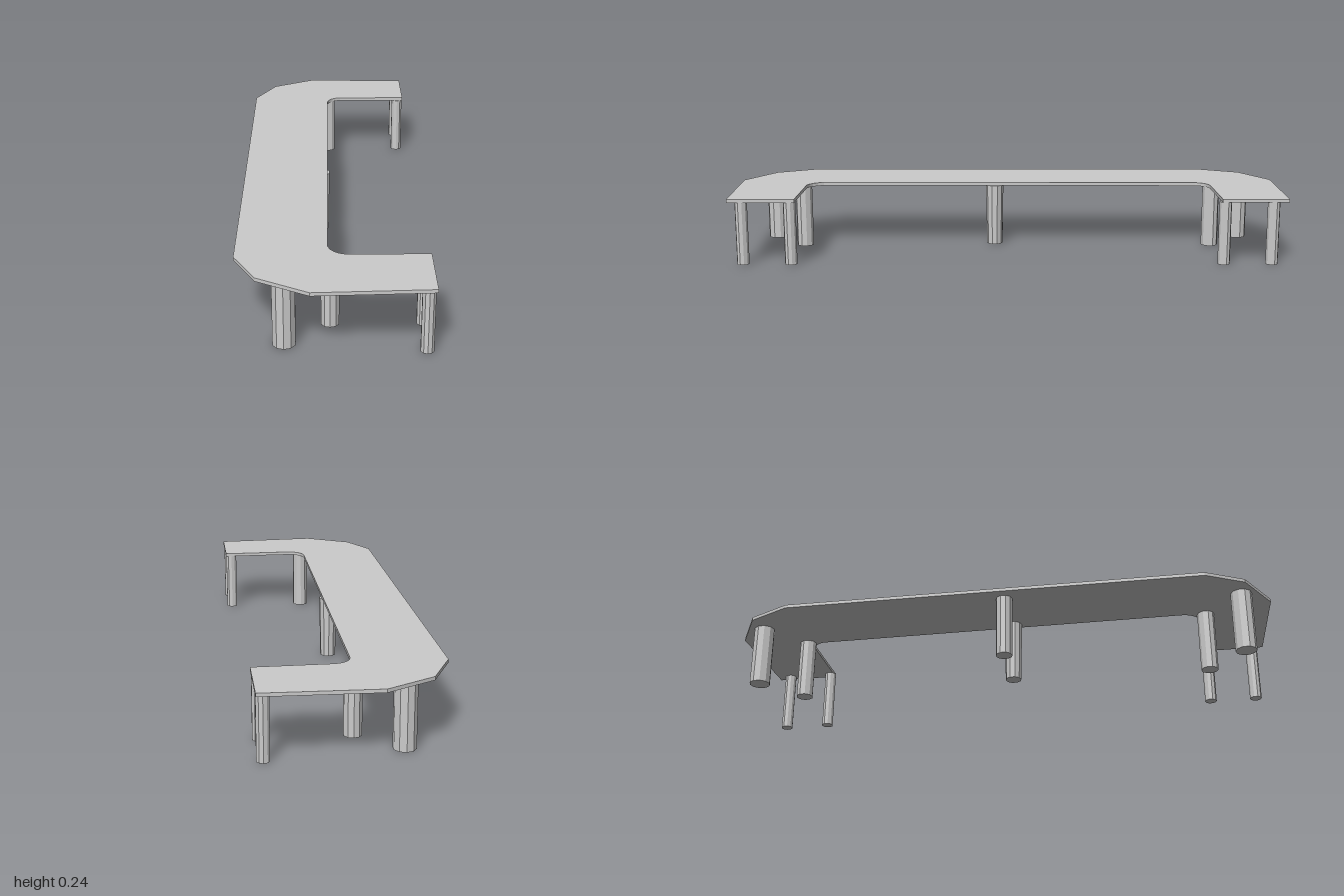
import * as THREE from 'three';

const UNDERSIDE = 0.225, THICKNESS = 0.012;

export function createModel() {
  const group = new THREE.Group();
  const material = new THREE.MeshStandardMaterial({ color: 0xcccccc, flatShading: true });

  // C-shaped top, drawn in x and -z, with chamfered outer and rounded inner corners
  const outline = new THREE.Shape();
  outline.moveTo(0.314, 0.987);
  outline.lineTo(-0.075, 1.0);
  outline.lineTo(-0.238, 0.91);
  outline.lineTo(-0.315, 0.755);
  outline.lineTo(-0.312, -0.765);
  outline.lineTo(-0.238, -0.905);
  outline.lineTo(-0.07, -1.0);
  outline.lineTo(0.314, -0.983);
  outline.lineTo(0.314, -0.746);
  outline.lineTo(0.04, -0.746);
  outline.quadraticCurveTo(-0.003, -0.738, -0.016, -0.69);
  outline.lineTo(-0.008, 0.705);
  outline.quadraticCurveTo(0.0, 0.745, 0.045, 0.753);
  outline.lineTo(0.314, 0.753);
  const topGeometry = new THREE.ExtrudeGeometry(outline, {
    depth: THICKNESS, bevelEnabled: false, curveSegments: 4,
  });
  topGeometry.rotateX(-Math.PI / 2);
  const top = new THREE.Mesh(topGeometry, material);
  top.name = 'tableTop';
  top.position.y = UNDERSIDE;
  group.add(top);

  // Ten-sided legs from the floor to the underside of the top
  function addLeg(name, x, z, radius, topRadius = radius) {
    const leg = new THREE.Mesh(
      new THREE.CylinderGeometry(topRadius, radius, UNDERSIDE, 10), material);
    leg.name = name;
    leg.position.set(x, UNDERSIDE / 2, z);
    group.add(leg);
  }

  // Four legs at each end of the table
  for (const [side, s] of [['front', 1], ['back', -1]]) {
    addLeg(side + 'TipOuterLeg', 0.291, s * 0.937, 0.022);
    addLeg(side + 'TipInnerLeg', 0.291, s * 0.767, 0.022);
    addLeg(side + 'CornerOuterLeg', -0.152, s * 0.892, 0.038);
    addLeg(side + 'CornerInnerLeg', -0.008, s * 0.765, 0.031);
  }

  // Pair under the middle; the inner one flares slightly upwards
  addLeg('middleOuterLeg', -0.251, 0.048, 0.03);
  addLeg('middleInnerLeg', -0.036, 0.048, 0.029, 0.033);

  return group;
}
